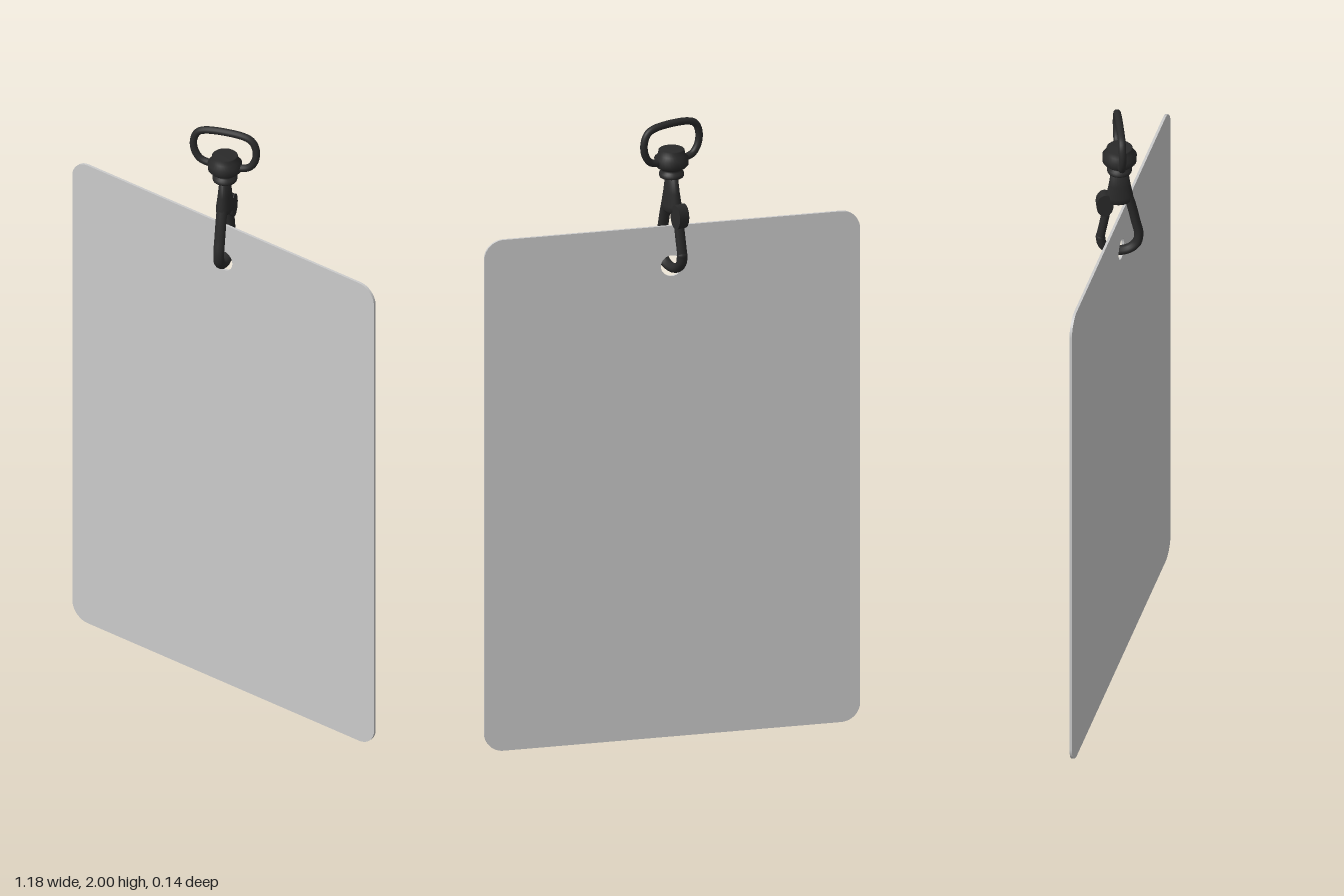
import * as THREE from 'three';

const V = (x, y, z) => new THREE.Vector3(x, y, z);

export function createModel() {
  const model = new THREE.Group();
  const grey = new THREE.MeshStandardMaterial({ color: 0xcccccc });
  const dark = new THREE.MeshStandardMaterial({ color: 0x2a2a2a });

  function add(parent, name, geometry, material) {
    const mesh = new THREE.Mesh(geometry, material);
    mesh.name = name;
    parent.add(mesh);
    return mesh;
  }

  // Thin rounded card with a punched hole
  const x0 = -0.594, x1 = 0.59, top = 1.66, r = 0.06;
  const card = new THREE.Shape();
  card.moveTo(x0 + r, 0);
  card.absarc(x1 - r, r, r, -Math.PI / 2, 0);
  card.absarc(x1 - r, top - r, r, 0, Math.PI / 2);
  card.absarc(x0 + r, top - r, r, Math.PI / 2, Math.PI);
  card.absarc(x0 + r, r, r, Math.PI, Math.PI * 1.5);
  const hole = new THREE.Path();
  hole.absarc(0, 1.53, 0.034, 0, Math.PI * 2, true);
  card.holes.push(hole);
  const cardGeo = new THREE.ExtrudeGeometry(card, { depth: 0.008, bevelEnabled: false, curveSegments: 16 });
  add(model, 'card', cardGeo.translate(0, 0, -0.002), grey);

  // Swivel snap hook, turned relative to the card
  const clip = new THREE.Group();
  clip.name = 'swivelClip';
  clip.rotation.y = THREE.MathUtils.degToRad(20);
  model.add(clip);

  // Strap loop: rounded D, mirrored left to right
  const half = [[0.05, 1.872], [0.08, 1.882], [0.098, 1.91], [0.101, 1.945], [0.088, 1.975], [0.06, 1.988]];
  const loop = [...half.map(([x, y]) => V(x, y, 0)), ...half.map(([x, y]) => V(-x, y, 0)).reverse()];
  add(clip, 'strapLoop', new THREE.TubeGeometry(new THREE.CatmullRomCurve3(loop, true), 80, 0.0115, 12, true), dark);

  // Swivel barrel with its collar
  const barrel = [[0, 1.82], [0.036, 1.82], [0.038, 1.824], [0.038, 1.834], [0.03, 1.838], [0.03, 1.845],
    [0.042, 1.85], [0.052, 1.86], [0.053, 1.882], [0.042, 1.893], [0.04, 1.907], [0.037, 1.91], [0, 1.91]];
  add(clip, 'swivelBarrel', new THREE.LatheGeometry(barrel.map(([x, y]) => new THREE.Vector2(x, y)), 32), dark);

  // Flattened shank between swivel and hook
  const shank = [[0, 1.705], [0.03, 1.705], [0.042, 1.715], [0.042, 1.73], [0.034, 1.77], [0.026, 1.822], [0, 1.822]];
  const shankMesh = add(clip, 'shank', new THREE.LatheGeometry(shank.map(([x, y]) => new THREE.Vector2(x, y)), 24), dark);
  shankMesh.scale.x = 0.6;

  // Hook and gate rods lie in the local y-z plane
  function rod(name, points, radius) {
    const curve = new THREE.CatmullRomCurve3(points.map(([z, y]) => V(0, y, z)));
    const mesh = add(clip, name, new THREE.TubeGeometry(curve, 48, radius, 12), dark);
    mesh.scale.x = 1.2;
    const end = points[points.length - 1];
    const tip = add(clip, name + 'Tip', new THREE.SphereGeometry(radius, 16, 12), dark);
    tip.position.set(0, end[1], end[0]);
    tip.scale.x = 1.2;
  }
  rod('hook', [[0.026, 1.73], [0.037, 1.69], [0.05, 1.63], [0.059, 1.585], [0.053, 1.552], [0.03, 1.531],
    [0, 1.525], [-0.03, 1.531], [-0.053, 1.552], [-0.059, 1.58]], 0.0145);
  rod('gate', [[-0.026, 1.73], [-0.037, 1.69], [-0.049, 1.63], [-0.058, 1.585]], 0.0135);

  // Rounded thumb lever on the gate
  const lever = add(clip, 'thumbLever', new THREE.CylinderGeometry(0.026, 0.026, 0.034, 24), dark);
  lever.rotation.z = Math.PI / 2;
  lever.scale.x = 1.5;
  lever.position.set(0, 1.703, -0.046);

  return model;
}
